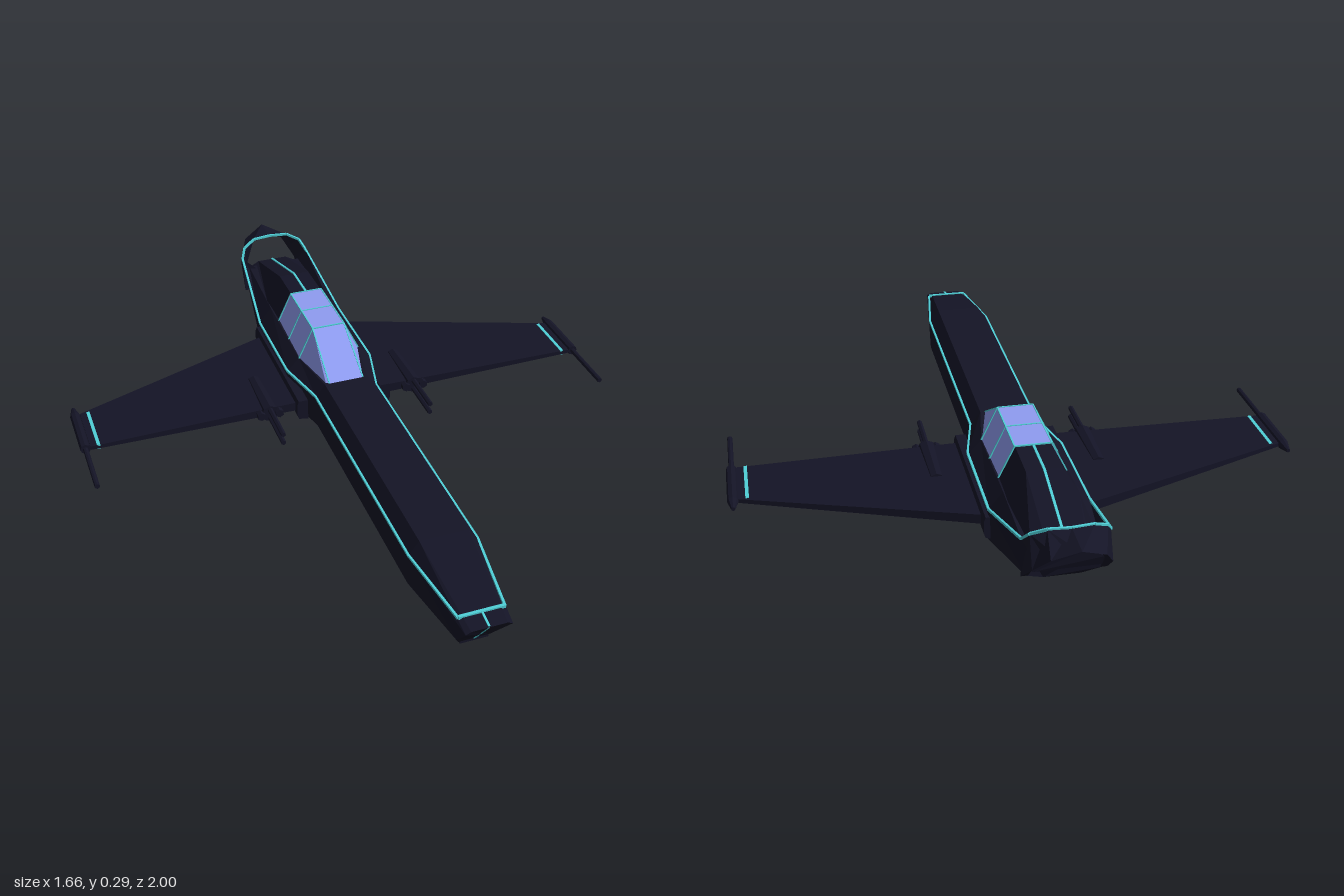
import * as THREE from 'three';

const paint = (color) => new THREE.MeshStandardMaterial({ color, flatShading: true, side: THREE.DoubleSide });
const dark = paint(0x141426), cyan = paint(0x4fd0d8), glass = paint(0x8f9cf2);

function add(parent, name, geometry, material, x = 0, y = 0, z = 0) {
  const mesh = new THREE.Mesh(geometry, material);
  mesh.name = name;
  mesh.position.set(x, y, z);
  parent.add(mesh);
  return mesh;
}

// Each section lists its +x half from bottom to top; sections run front to back.
function loft(sections, mirrored = true) {
  const rings = sections.map((s) => (mirrored ? [...s, ...[...s].reverse().map(([x, y, z]) => [-x, y, z])] : s));
  const n = rings[0].length, pos = [];
  const tri = (a, b, c) => pos.push(...a, ...b, ...c);
  for (let i = 0; i < rings.length - 1; i++) {
    for (let j = 0; j < n; j++) {
      const k = (j + 1) % n;
      const a = rings[i][j], b = rings[i][k], c = rings[i + 1][k], d = rings[i + 1][j];
      tri(a, d, b);
      tri(b, d, c);
    }
  }
  const last = rings[rings.length - 1];
  for (let j = 1; j < n - 1; j++) {
    tri(rings[0][0], rings[0][j], rings[0][j + 1]);
    tri(last[0], last[j + 1], last[j]);
  }
  const g = new THREE.BufferGeometry();
  g.setAttribute('position', new THREE.Float32BufferAttribute(pos, 3));
  g.computeVertexNormals();
  return g;
}

// Thin glowing strip following a list of points
function trim(parent, name, points, size = 0.007) {
  const group = new THREE.Group();
  group.name = name;
  for (let i = 0; i < points.length - 1; i++) {
    const a = new THREE.Vector3(...points[i]), b = new THREE.Vector3(...points[i + 1]);
    const bar = add(group, name + 'Segment', new THREE.BoxGeometry(size, size, a.distanceTo(b)), cyan);
    bar.position.copy(a).add(b).multiplyScalar(0.5);
    bar.lookAt(b);
  }
  parent.add(group);
}

// Round bar along z
function rod(parent, name, r0, r1, z0, z1, x, y, sides = 8) {
  const g = new THREE.CylinderGeometry(r1, r0, z1 - z0, sides).rotateX(Math.PI / 2);
  return add(parent, name, g, dark, x, y, (z0 + z1) / 2);
}

function buildWing(root, s) {
  const wing = new THREE.Group();
  wing.name = s > 0 ? 'leftWing' : 'rightWing';
  root.add(wing);

  // Swept panel, thinner towards the tip
  const shape = new THREE.Shape([[0.12, -0.54], [0.8, -0.3], [0.8, -0.12], [0.12, -0.12]]
    .map(([x, z]) => new THREE.Vector2(s * x, z)));
  const panel = new THREE.ExtrudeGeometry(shape, { depth: 1, bevelEnabled: false });
  panel.rotateX(Math.PI / 2).translate(0, 0.5, 0);
  const p = panel.attributes.position;
  for (let i = 0; i < p.count; i++) {
    p.setY(i, p.getY(i) * THREE.MathUtils.mapLinear(Math.abs(p.getX(i)), 0.12, 0.8, 0.03, 0.012));
  }
  panel.computeVertexNormals();
  add(wing, 'wingPanel', panel, dark, 0, 0.1, 0);
  add(wing, 'wingStripe', new THREE.BoxGeometry(0.01, 0.016, 0.18), cyan, s * 0.775, 0.1, -0.21);

  // Root fairing
  const fairing = [[0.12, 0.06], [0.15, 0.065], [0.155, 0.08], [0.155, 0.115], [0.15, 0.13], [0.12, 0.13]];
  const mesh = add(wing, 'rootFairing', loft([-0.1, -0.57].map((z) => fairing.map(([x, y]) => [x, y, z])), false), dark);
  mesh.scale.x = s;

  // Tip pod and gun
  rod(wing, 'tipPod', 0.016, 0.016, -0.3, -0.12, s * 0.815, 0.1);
  rod(wing, 'tipPodTail', 0.006, 0.016, -0.34, -0.3, s * 0.815, 0.1);
  rod(wing, 'tipGun', 0.008, 0.008, -0.12, 0.07, s * 0.815, 0.1);

  // Inner gun pod
  rod(wing, 'gunMount', 0.022, 0.028, -0.3, -0.11, s * 0.24, 0.1);
  for (const x of [0.212, 0.27]) rod(wing, 'gunHousing', 0.003, 0.014, -0.39, -0.1, s * x, 0.1, 6);
  for (const y of [0.085, 0.115]) rod(wing, 'gunBarrel', 0.008, 0.008, -0.12, 0.03, s * 0.24, y, 6);
}

export function createModel() {
  const root = new THREE.Group();
  root.name = 'starfighter';

  // Hull: keel, chine, gunwale and deck points at each station
  add(root, 'hull', loft([
    [[0.045, 0.02, 0.92], [0.06, 0.05, 0.94], [0.065, 0.125, 1], [0.05, 0.132, 1]],
    [[0.07, 0.005, 0.7], [0.1, 0.05, 0.7], [0.1, 0.15, 0.7], [0.07, 0.19, 0.7]],
    [[0.07, 0.005, -0.08], [0.1, 0.05, -0.08], [0.1, 0.15, -0.08], [0.07, 0.19, -0.08]],
    [[0.09, 0.005, -0.25], [0.14, 0.045, -0.25], [0.14, 0.15, -0.25], [0.1, 0.19, -0.25]],
    [[0.09, 0.005, -0.53], [0.14, 0.045, -0.54], [0.14, 0.15, -0.56], [0.1, 0.2, -0.56]],
    [[0.05, 0.095, -0.82], [0.1, 0.12, -0.84], [0.115, 0.24, -0.85], [0.09, 0.2, -0.86]],
  ]), dark);
  add(root, 'keelPlate', loft([
    [[0.04, 0.012, 0.92], [0.04, 0.03, 0.92]],
    [[0.055, 0, 0.7], [0.055, 0.02, 0.7]],
    [[0.065, 0, -0.5], [0.065, 0.02, -0.52]],
  ]), dark);

  // Raised spine behind the cockpit
  add(root, 'spine', loft([
    [[0.1, 0.18, -0.475], [0.098, 0.19, -0.475], [0.05, 0.288, -0.475]],
    [[0.105, 0.18, -0.61], [0.098, 0.2, -0.61], [0.05, 0.286, -0.61]],
    [[0.09, 0.15, -0.87], [0.095, 0.18, -0.88], [0.05, 0.205, -0.88]],
  ]), dark);

  // Tail hoop: triangular band sweeping back and up around the stern
  const half = [
    [[0.115, 0.24, -0.85], [0.113, 0.12, -0.84], [0.095, 0.12, -0.84]],
    [[0.1, 0.268, -0.875], [0.103, 0.19, -0.92], [0.088, 0.19, -0.9]],
    [[0.06, 0.287, -0.893], [0.07, 0.25, -0.975], [0.055, 0.25, -0.945]],
    [[0, 0.288, -0.9], [0, 0.284, -1], [0, 0.268, -0.97]],
  ];
  const flip = half.slice(0, 3).reverse().map((s) => s.map(([x, y, z]) => [-x, y, z]));
  add(root, 'tailHoop', loft([...half, ...flip], false), dark);

  // Cockpit canopy and its frame
  const canopy = [
    [[0.065, 0.185, -0.08], [0.055, 0.19, -0.08]],
    [[0.1, 0.185, -0.25], [0.052, 0.29, -0.25]],
    [[0.1, 0.185, -0.48], [0.052, 0.29, -0.48]],
  ];
  add(root, 'canopy', loft(canopy), glass);
  for (const z of [-0.25, -0.365, -0.48]) {
    trim(root, 'canopyHoop', [[0.1, 0.19, z], [0.052, 0.29, z], [-0.052, 0.29, z], [-0.1, 0.19, z]], 0.004);
  }

  // Mirrored trim and wings
  for (const s of [1, -1]) {
    const side = (pts) => pts.map(([x, y, z]) => [s * x, y, z]);
    trim(root, 'canopyRail', side(canopy.map((c) => c[1])), 0.004);
    trim(root, 'gunwaleTrim', side([[0.065, 0.139, 0.95], [0.1, 0.15, 0.7], [0.1, 0.15, -0.08], [0.14, 0.15, -0.25],
      [0.14, 0.15, -0.56], ...half.map((h) => h[0])]));
    buildWing(root, s);
  }
  trim(root, 'noseTrim', [[0.065, 0.141, 0.95], [-0.065, 0.141, 0.95]], 0.009);
  trim(root, 'noseCentreTrim', [[0, 0.142, 0.95], [0, 0.132, 0.997], [0, 0.022, 0.92]], 0.006);
  trim(root, 'spineTrim', [[0, 0.288, -0.48], [0, 0.286, -0.61], [0, 0.205, -0.88]]);
  return root;
}
